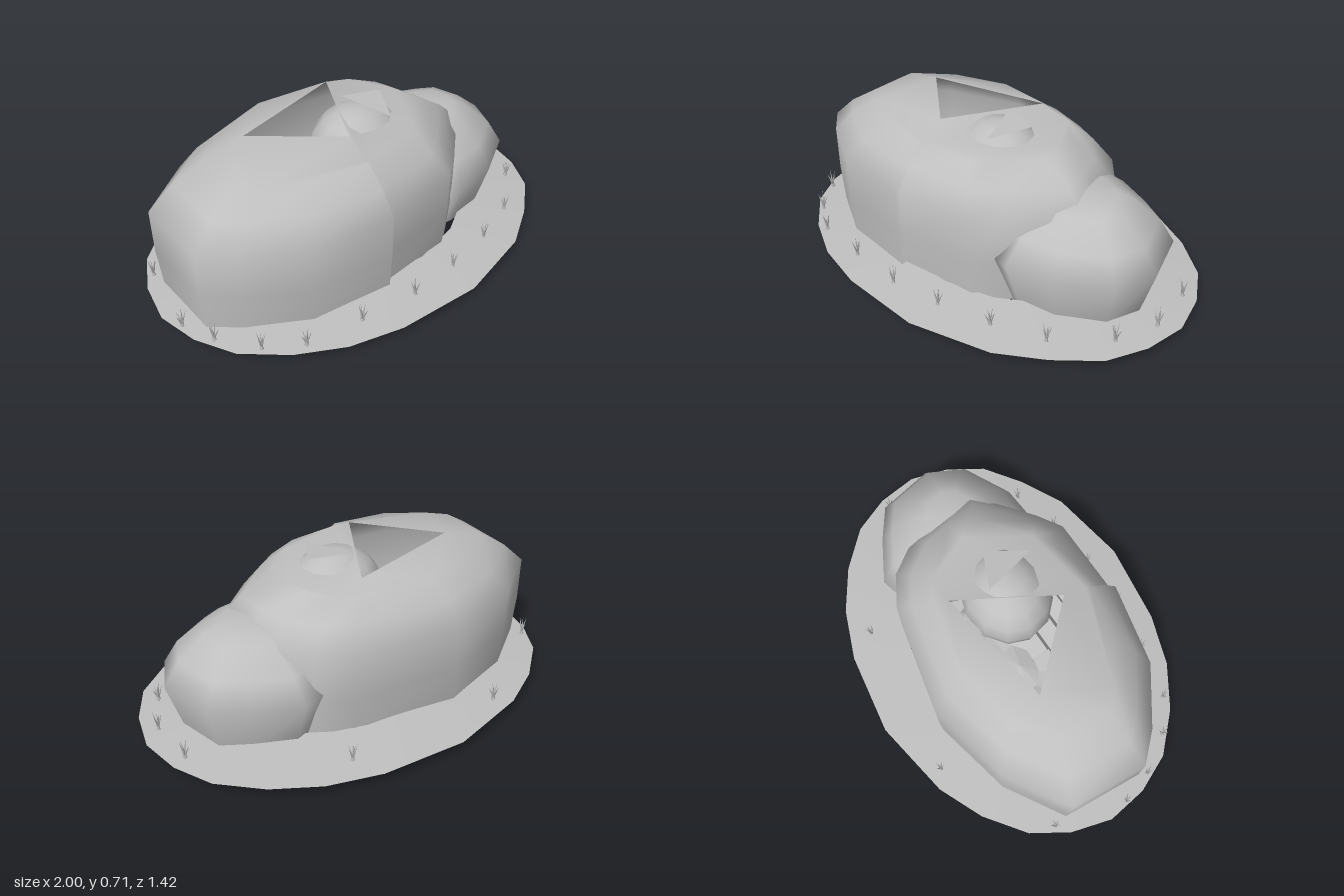
import * as THREE from 'three';
import { mergeGeometries, mergeVertices } from 'three/addons/utils/BufferGeometryUtils.js';

const stone = new THREE.MeshStandardMaterial({ color: 0xbfbfbf, side: THREE.DoubleSide });
stone.name = 'stone grey';

// Stacks scaled copies of a plan outline [x, z] at levels [y, scale]
function loft(outline, cx, cz, levels) {
  const pos = [], index = [], n = outline.length;
  for (const [y, s] of levels)
    for (const [x, z] of outline) pos.push(cx + (x - cx) * s, y, cz + (z - cz) * s);
  for (let l = 0; l < levels.length - 1; l++)
    for (let i = 0; i < n; i++) {
      const a = l * n + i, b = l * n + (i + 1) % n;
      index.push(a, a + n, b, b, a + n, b + n);
    }
  const g = new THREE.BufferGeometry();
  g.setAttribute('position', new THREE.Float32BufferAttribute(pos, 3));
  g.setIndex(index);
  return g;
}

function smooth(g) {
  g.deleteAttribute('normal');
  g.deleteAttribute('uv');
  g = mergeVertices(g, 1e-4);
  g.computeVertexNormals();
  return g;
}

function faceted(g) {
  g = g.toNonIndexed();
  g.computeVertexNormals();
  return g;
}

export function createModel() {
  const model = new THREE.Group();
  model.name = 'boulders';
  const add = (geometry, name, parent = model) => {
    const m = new THREE.Mesh(geometry, stone);
    m.name = name;
    parent.add(m);
    return m;
  };

  // Ground: a slightly domed oval ring around the rocks
  const rim = [[-0.13, -0.715], [0.26, -0.69], [0.5, -0.62], [0.7, -0.51], [0.87, -0.36], [0.96, -0.19],
    [1, 0], [0.96, 0.19], [0.87, 0.36], [0.7, 0.5], [0.5, 0.62], [0.13, 0.71], [-0.26, 0.685],
    [-0.5, 0.62], [-0.7, 0.51], [-0.87, 0.36], [-0.96, 0.19], [-1, 0], [-0.96, -0.19],
    [-0.87, -0.36], [-0.7, -0.51], [-0.5, -0.62]];
  add(smooth(loft(rim, 0, 0, [[0.057, 1], [0.072, 0.8], [0.085, 0.62]])), 'ground');

  // Large boulder: steep sides and rounded shoulder, with a stepped split at the front
  const bigPlan = [[-0.9, -0.18], [-0.64, -0.37], [-0.27, -0.485], [0.23, -0.42], [0.38, -0.35],
    [0.5, -0.2], [0.54, -0.05], [0.58, 0.12], [0.33, 0.35], [0.22, 0.43], [-0.15, 0.46], [-0.152, 0.485],
    [-0.53, 0.43], [-0.78, 0.28], [-0.9, 0.17]];
  const bx = -0.16, topY = 0.645, topScale = 0.68;
  const sides = loft(bigPlan, bx, 0, [[0.055, 0.98], [0.25, 1], [0.46, 1], [0.56, 0.86], [topY, topScale]]);

  // Crown with a three-cornered opening
  const crownShape = new THREE.Shape(bigPlan.map(([x, z]) =>
    new THREE.Vector2(bx + (x - bx) * topScale, -z * topScale)));
  const gap = [[-0.47, 0.69, -0.1], [0.07, 0.685, -0.23], [-0.15, 0.705, 0.2]];
  crownShape.holes.push(new THREE.Path(gap.map(([x, , z]) => new THREE.Vector2(x, -z))));
  const crown = new THREE.ShapeGeometry(crownShape).rotateX(-Math.PI / 2);
  const p = crown.attributes.position;
  for (let i = 0; i < p.count; i++) {
    const corner = gap.find(([x, , z]) => Math.hypot(p.getX(i) - x, p.getZ(i) - z) < 1e-3);
    p.setY(i, corner ? corner[1] : topY);
  }
  crown.deleteAttribute('normal');
  crown.deleteAttribute('uv');
  add(smooth(mergeGeometries([sides, crown])), 'largeBoulder');

  // Layered underside of nested, stepped rings
  add(faceted(loft(bigPlan, bx, 0, [[0.055, 0.98], [0.022, 0.8], [0.055, 0.76], [0.016, 0.6],
    [0.05, 0.55], [0.01, 0.38], [0.05, 0.33], [0.008, 0.16], [0.03, 0]])), 'largeUnderside');

  // Rounded core under the opening, and a loose chip on top
  const core = add(new THREE.SphereGeometry(1, 12, 8), 'innerCore');
  core.scale.set(0.23, 0.2, 0.2);
  core.position.set(0.04, 0.5, 0.03);
  const chip = new THREE.BufferGeometry();
  chip.setAttribute('position', new THREE.Float32BufferAttribute(
    [0.02, 0.71, -0.06, 0.1, 0.69, 0.18, 0.19, 0.705, 0], 3));
  chip.computeVertexNormals();
  add(chip, 'topChip');

  // Small boulder leaning on the +x end
  const smallPlan = [[0.45, -0.4], [0.65, -0.31], [0.8, -0.22], [0.875, 0.04], [0.8, 0.22], [0.58, 0.35],
    [0.37, 0.38], [0.3, 0.37], [0.2, 0], [0.3, -0.35]];
  add(smooth(loft(smallPlan, 0.5, 0, [[0.045, 0.82], [0.28, 1], [0.39, 0.82], [0.49, 0.5],
    [0.515, 0.32], [0.525, 0]])), 'smallBoulder');
  add(faceted(loft(smallPlan, 0.5, 0, [[0.045, 0.82], [0.02, 0.6], [0.05, 0.55], [0, 0.3], [0.03, 0]])),
    'smallUnderside');

  // Grass tufts: thin blades fanning out from one root
  const spots = [[-0.42, -0.57], [0.33, -0.56], [-0.9, -0.24], [0.9, -0.17], [-0.96, 0.1], [0.92, 0.06],
    [-0.9, 0.25], [0.84, 0.25], [-0.78, 0.41], [0.63, 0.43], [-0.63, 0.51], [0.4, 0.51],
    [-0.37, 0.55], [-0.1, 0.58], [0.15, 0.56]];
  const blade = new THREE.ConeGeometry(0.007, 0.09, 4).translate(0, 0.03, 0);
  spots.forEach(([x, z], k) => {
    const tuft = new THREE.Group();
    tuft.name = 'grassTuft';
    tuft.position.set(x, 0.08, z);
    for (let i = 0; i < 5; i++) {
      const b = add(blade, 'grassBlade', tuft);
      b.rotation.set(0, k + i * 1.257, 0.22 + 0.1 * (i % 3), 'YXZ');
      b.scale.y = 1.05 - 0.12 * (i % 3);
    }
    model.add(tuft);
  });
  return model;
}
